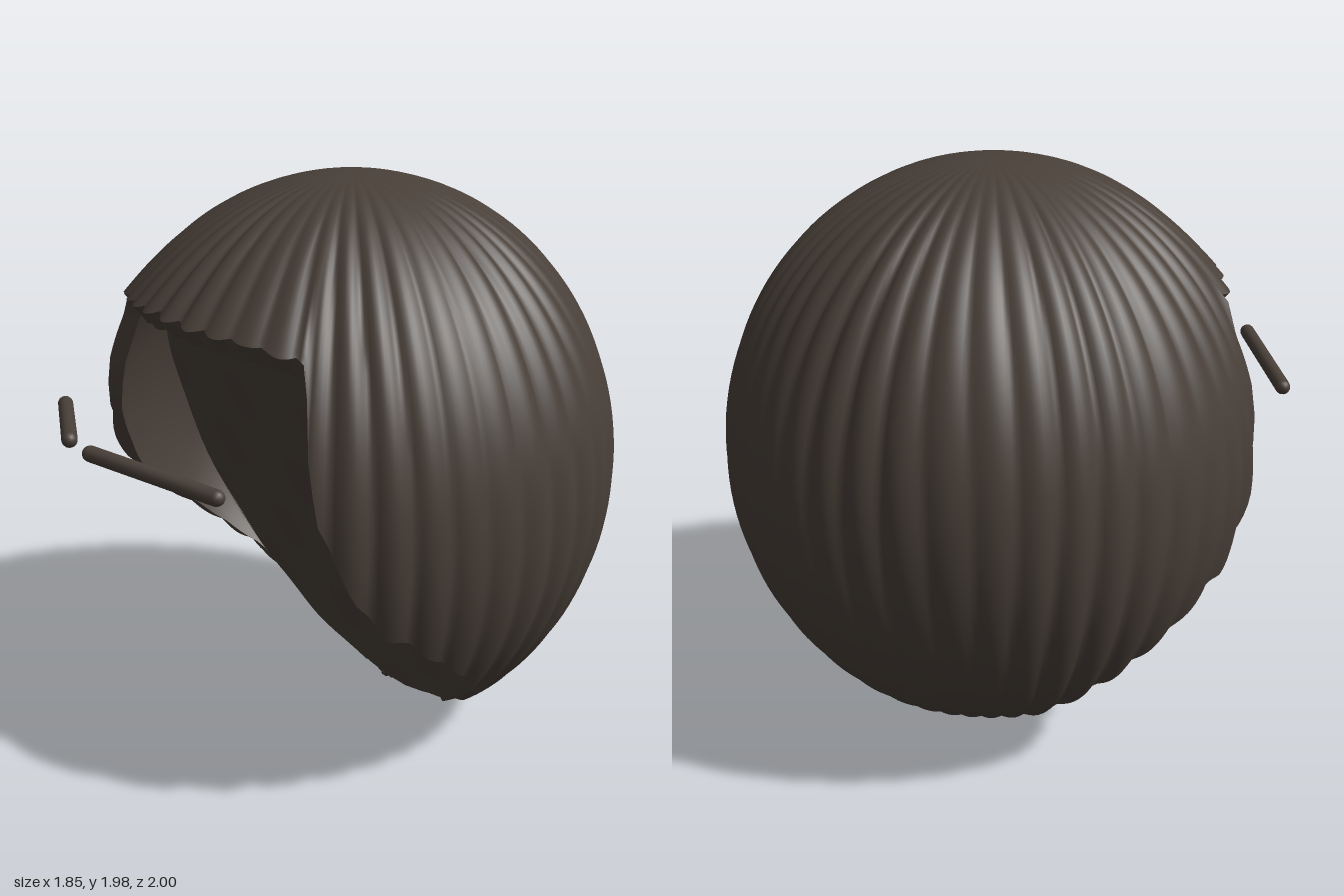
import * as THREE from 'three';
import { toCreasedNormals } from 'three/addons/utils/BufferGeometryUtils.js';

const CENTRE = new THREE.Vector3(0, 0.99, -0.07);
const RADII = new THREE.Vector3(0.92, 0.998, 0.924);
const RIBS = 44, COLS = RIBS * 8, ROWS = 64;
const RAD = Math.PI / 180;

// Hairline: [degrees round from the front, degrees down from the crown]
const HAIRLINE = [[0, 52.5], [30, 54], [44.6, 56.5], [45.6, 70], [48, 84], [55, 98], [61, 106.5],
  [64, 107], [78, 118], [94, 132], [109, 153], [140, 166], [180, 170]];

const fromFront = (a) => Math.abs(a > Math.PI ? a - 2 * Math.PI : a) / RAD;
const isFringe = (a) => fromFront(a) < 45;

function hairline(a) {
  const d = fromFront(a);
  const i = Math.max(1, HAIRLINE.findIndex((p) => p[0] >= d));
  const [d0, t0] = HAIRLINE[i - 1], [d1, t1] = HAIRLINE[i];
  return THREE.MathUtils.lerp(t0, t1, (d - d0) / (d1 - d0));
}

// Rounded locks of uneven depth, swaying a little on the way down
function lock(a, t) {
  const sway = 0.4 * Math.sin(t * 3 + 2 * Math.sin(a * 3));
  const depth = 0.75 + 0.25 * Math.sin(a * 7 + 1);
  return depth * (Math.abs(Math.sin(a * RIBS / 2 + sway)) - 0.6);
}

const onSkull = (a, t, s) => new THREE.Vector3(
  Math.sin(t) * Math.sin(a), Math.cos(t), Math.sin(t) * Math.cos(a),
).multiplyScalar(s).multiply(RADII).add(CENTRE);

// Outer surface, v = 0 at the crown and 1 at the hairline
function outer(a, v) {
  const end = hairline(a) * RAD;
  const t = v * (end + (isFringe(a) ? 0.035 : 0.014) * lock(a, end));
  const fade = THREE.MathUtils.smoothstep(Math.sin(t), 0.1, 0.85);
  const flare = isFringe(a) ? 0.025 * v ** 6 : 0;
  return onSkull(a, t, 1 + 0.023 * fade * lock(a, t) + flare);
}

// Inner surface: the skull wall, blending into a slanted back wall
function inner(a, v) {
  const s = THREE.MathUtils.lerp(0.945, 0.985, THREE.MathUtils.smoothstep(fromFront(a), 52, 85));
  const end = (hairline(a) + (isFringe(a) ? 1.5 : 0)) * RAD + 0.012 * lock(a + 0.05, 1);
  const p = onSkull(a, v * end, s);
  const q = p.clone().sub(CENTRE).divide(RADII);
  const front = CENTRE.z + RADII.z * Math.sqrt(Math.max(0, s * s - q.x * q.x - q.y * q.y));
  const wall = -0.24 + 0.36 * p.y + 0.006 * Math.sin(p.x * 13) * Math.sin(p.y * 11);
  const round = 0.2 * Math.min(1, 5 * (1 - v)) + 0.001;
  const blend = Math.max(0, round - Math.abs(p.z - wall)) ** 2 / (4 * round);
  p.z = Math.min(Math.max(p.z, wall) + blend, Math.max(front, p.z));
  return p;
}

// Closed ring of columns, joined row by row
function sheet(rows, point) {
  const pos = [], index = [];
  for (let i = 0; i <= rows; i++) {
    for (let j = 0; j < COLS; j++) pos.push(...point((j / COLS) * 2 * Math.PI, i / rows).toArray());
  }
  for (let i = 0; i < rows; i++) {
    for (let j = 0; j < COLS; j++) {
      const k = (j + 1) % COLS;
      const a = i * COLS + j, b = a + COLS, c = (i + 1) * COLS + k, d = i * COLS + k;
      index.push(a, b, c, a, c, d);
    }
  }
  const g = new THREE.BufferGeometry();
  g.setAttribute('position', new THREE.Float32BufferAttribute(pos, 3));
  g.setIndex(index);
  g.computeVertexNormals();
  return g;
}

export function createModel() {
  const model = new THREE.Group();
  model.name = 'hairAndEyebrows';
  const brown = new THREE.MeshStandardMaterial({ color: 0x483f38 });
  brown.name = 'dark brown hair';
  brown.side = THREE.DoubleSide;

  const add = (name, geometry) => {
    const mesh = new THREE.Mesh(geometry, brown);
    mesh.name = name;
    model.add(mesh);
    return mesh;
  };

  // Hair: ribbed outside, cut edge and inside
  add('hairOuter', sheet(ROWS, outer));
  add('hairEdge', sheet(2, (a, v) => outer(a, 1).lerp(inner(a, 1), v)));
  add('hairInner', toCreasedNormals(sheet(ROWS, (a, v) => inner(a, 1 - v)), 0.6));

  // Eyebrows: slim rounded bars, mirrored
  for (const side of [-1, 1]) {
    const from = new THREE.Vector3(side * 0.515, 1.195, 0.787);
    const to = new THREE.Vector3(side * 0.075, 1.235, 0.973);
    const along = to.clone().sub(from);
    const brow = add(side > 0 ? 'leftEyebrow' : 'rightEyebrow',
      new THREE.CapsuleGeometry(0.026, along.length(), 5, 14));
    brow.position.copy(from).add(to).multiplyScalar(0.5);
    brow.quaternion.setFromUnitVectors(new THREE.Vector3(0, 1, 0), along.normalize());
  }
  return model;
}
